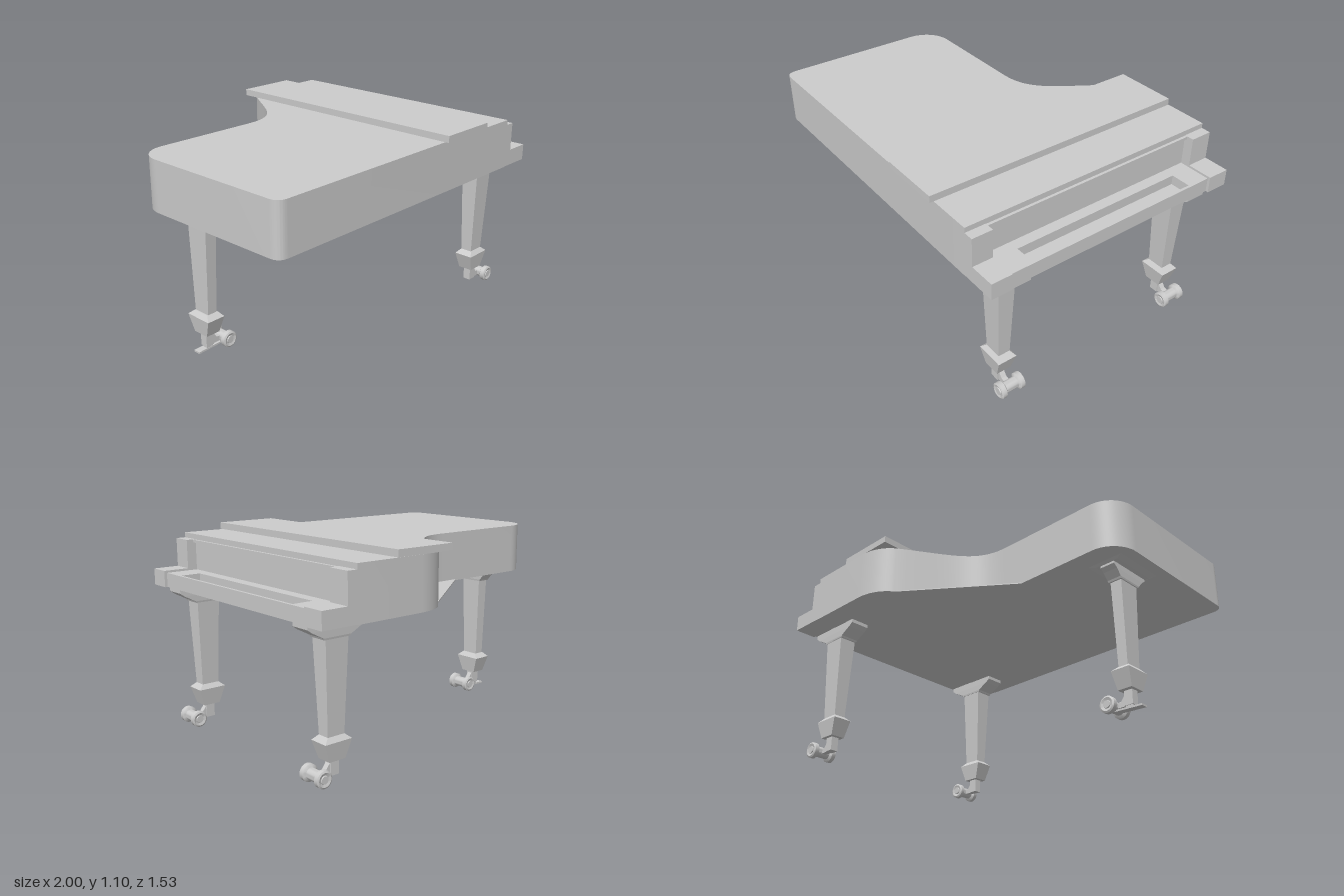
import * as THREE from 'three';
import { toCreasedNormals } from 'three/addons/utils/BufferGeometryUtils.js';

const grey = new THREE.MeshStandardMaterial({ color: 0xcccccc });

function add(parent, name, geometry) {
  const mesh = new THREE.Mesh(geometry, grey);
  mesh.name = name;
  parent.add(mesh);
  return mesh;
}

// Box given by its limits on each axis
function box(parent, name, x0, x1, y0, y1, z0, z1) {
  const mesh = add(parent, name, new THREE.BoxGeometry(x1 - x0, y1 - y0, z1 - z0));
  mesh.position.set((x0 + x1) / 2, (y0 + y1) / 2, (z0 + z1) / 2);
  return mesh;
}

// Plan outline (shape y is -z) raised between two heights
function slab(parent, name, shape, y0, y1) {
  const flat = new THREE.ExtrudeGeometry(shape, { depth: y1 - y0, bevelEnabled: false, curveSegments: 20 });
  flat.rotateX(-Math.PI / 2).translate(0, y0, 0);
  return add(parent, name, toCreasedNormals(flat, 0.6));
}

// Flat-sided solid through rectangles [y, half x, half z], listed bottom to top
function loft(sections) {
  const corners = sections.map(([y, a, b]) => [[-a, y, b], [a, y, b], [a, y, -b], [-a, y, -b]]);
  const pos = [];
  const quad = (a, b, c, d) => pos.push(...a, ...b, ...c, ...a, ...c, ...d);
  for (let i = 0; i < corners.length - 1; i++) {
    for (let k = 0; k < 4; k++) {
      const n = (k + 1) % 4;
      quad(corners[i][k], corners[i][n], corners[i + 1][n], corners[i + 1][k]);
    }
  }
  const [p, q] = [corners[0], corners[corners.length - 1]];
  quad(p[3], p[2], p[1], p[0]);
  quad(q[0], q[1], q[2], q[3]);
  const g = new THREE.BufferGeometry();
  g.setAttribute('position', new THREE.Float32BufferAttribute(pos, 3));
  g.computeVertexNormals();
  return g;
}

// Case outline; the underside bridges the waist with a straight edge
function outline(straightWaist) {
  const s = new THREE.Shape();
  s.moveTo(0.8, -0.74);
  s.lineTo(0.8, 0.77);
  s.lineTo(0.41, 0.77);
  s.quadraticCurveTo(0.27, 0.77, 0.2, 0.67);
  if (straightWaist) s.lineTo(-0.36, 0.262);
  else s.bezierCurveTo(0.02, 0.4, -0.02, 0.262, -0.25, 0.262);
  s.lineTo(-0.84, 0.262);
  s.bezierCurveTo(-0.93, 0.262, -1, 0.19, -1, 0.1);
  s.lineTo(-1, -0.68);
  s.quadraticCurveTo(-1, -0.74, -0.94, -0.74);
  s.closePath();
  return s;
}

// Twin wheels on a hub, offset towards +x from the leg
function addCaster(leg) {
  const caster = new THREE.Group();
  caster.name = 'caster';
  caster.position.set(0.098, 0.045, 0);
  const profile = [[0, -0.073], [0.02, -0.073], [0.022, -0.068], [0.036, -0.073], [0.045, -0.068],
    [0.045, -0.045], [0.038, -0.04], [0.03, -0.036]];
  const mirrored = profile.slice().reverse().map(([r, y]) => [r, -y]);
  const wheels = new THREE.LatheGeometry([...profile, ...mirrored].map(([r, y]) => new THREE.Vector2(r, y)), 24);
  wheels.rotateX(Math.PI / 2);
  add(caster, 'wheels', toCreasedNormals(wheels, 0.6));
  leg.add(caster);
  box(leg, 'casterPost', -0.025, 0.025, 0.03, 0.115, -0.022, 0.022);
  const arm = new THREE.Shape([[0.02, 0.1], [0.02, 0.03], [0.09, 0.03], [0.09, 0.055], [0.05, 0.06]]
    .map(([x, y]) => new THREE.Vector2(x, y)));
  add(leg, 'casterArm', new THREE.ExtrudeGeometry(arm, { depth: 0.03, bevelEnabled: false }).translate(0, 0, -0.015));
}

function addLeg(parent, name, x, z, turned) {
  const leg = new THREE.Group();
  leg.name = name;
  leg.position.set(x, 0, z);
  const t = turned ? 0.04 : 0.053;
  const wide = turned ? 0.135 : 0.172;
  const parts = {
    legFoot: [[0.108, 0.048, 0.042], [0.205, 0.08, 0.055], [0.23, 0.05, 0.034]],
    legShaft: [[0.23, 0.05, turned ? 0.028 : 0.034], [0.715, 0.067, turned ? 0.034 : 0.05]],
    legBracket: [[0.705, 0.075, t], [0.715, 0.08, t + 0.002], [0.75, wide - 0.025, t + 0.003],
      [0.768, wide, t + 0.003], [0.79, wide, t + 0.003]],
  };
  for (const part in parts) {
    const g = loft(parts[part]);
    if (turned) g.rotateY(Math.PI / 2);
    add(leg, part, g);
  }
  addCaster(leg);
  parent.add(leg);
  return leg;
}

export function createModel() {
  const piano = new THREE.Group();
  piano.name = 'grandPiano';

  // Case, underside and folded lid
  slab(piano, 'case', outline(false), 0.792, 1.065);
  slab(piano, 'underside', outline(true), 0.788, 0.794);
  box(piano, 'foldedLid', 0.2, 0.555, 1.065, 1.102, -0.768, 0.762);

  // Stepped cheeks at both ends of the keyboard
  for (const [z0, z1] of [[0.625, 0.74], [-0.77, -0.645]]) {
    const s = new THREE.Shape([[0.79, 0.79], [1, 0.79], [1, 0.88], [0.855, 0.88], [0.855, 1.037], [0.79, 1.037]]
      .map(([x, y]) => new THREE.Vector2(x, y)));
    add(piano, 'cheek', new THREE.ExtrudeGeometry(s, { depth: z1 - z0, bevelEnabled: false }).translate(0, 0, z0));
  }

  // Keyboard bay: bed, rails, end blocks and the lip above
  box(piano, 'keyBed', 0.79, 0.985, 0.79, 0.815, -0.645, 0.625);
  box(piano, 'backRail', 0.79, 0.86, 0.81, 0.868, -0.645, 0.625);
  box(piano, 'frontRail', 0.97, 0.985, 0.81, 0.868, -0.645, 0.625);
  box(piano, 'keyBlock', 0.86, 0.97, 0.81, 0.868, 0.49, 0.625);
  box(piano, 'keyBlock', 0.86, 0.97, 0.81, 0.868, -0.645, -0.52);
  box(piano, 'fallboardLip', 0.79, 0.815, 1.02, 1.035, -0.645, 0.625);

  // Legs
  addLeg(piano, 'frontLeg', 0.805, 0.557, false);
  addLeg(piano, 'backLeg', 0.805, -0.58, false);
  const tail = addLeg(piano, 'tailLeg', -0.83, 0.015, true);

  // Mounting plate and brake pad of the tail leg
  add(tail, 'mountingPlate', loft([[0.78, 0.07, 0.14], [0.79, 0.115, 0.16]]));
  const pad = box(tail, 'brakePad', -0.075, 0.09, 0.012, 0.022, -0.02, 0.02);
  pad.rotation.z = 0.04;
  box(tail, 'brakeStem', -0.02, 0.02, 0.015, 0.04, -0.018, 0.018);
  return piano;
}
